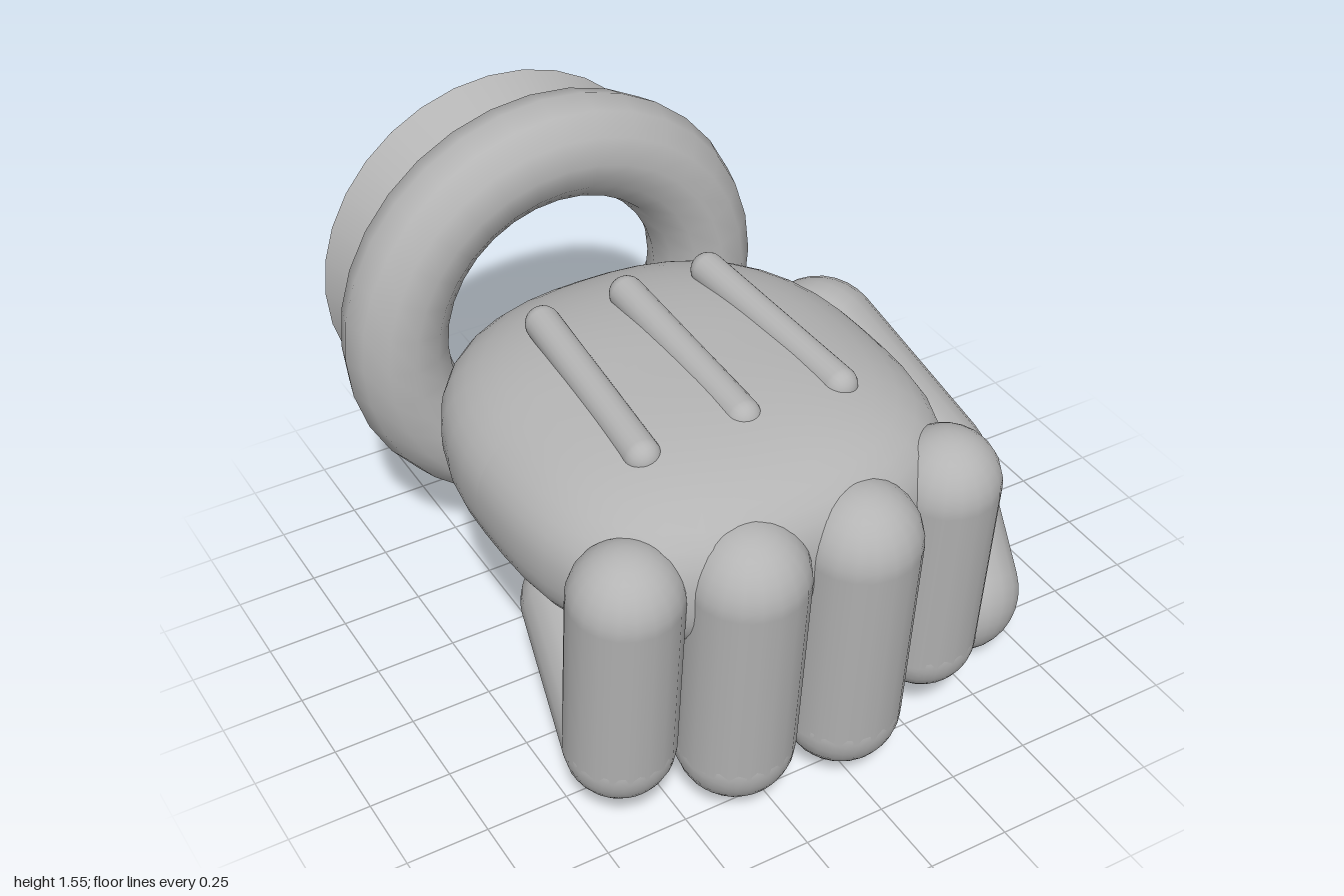
import * as THREE from 'three';

export function createModel() {
  const model = new THREE.Group();
  model.name = 'glovedFist';
  const grey = new THREE.MeshStandardMaterial({ color: 0xb4b4b4 });
  grey.name = 'grey';
  const greyOpen = new THREE.MeshStandardMaterial({ color: 0xb4b4b4, side: THREE.DoubleSide });
  greyOpen.name = 'grey two-sided';

  const add = (parent, name, geometry, material = grey) => {
    const mesh = new THREE.Mesh(geometry, material);
    mesh.name = name;
    parent.add(mesh);
    return mesh;
  };

  // Capsule whose end-sphere centres lie at a and b
  const capsule = (parent, name, a, b, r) => {
    const from = new THREE.Vector3(...a), to = new THREE.Vector3(...b);
    const dir = to.clone().sub(from);
    const mesh = add(parent, name, new THREE.CapsuleGeometry(r, dir.length(), 8, 20));
    mesh.position.copy(from).add(to).multiplyScalar(0.5);
    mesh.quaternion.setFromUnitVectors(new THREE.Vector3(0, 1, 0), dir.normalize());
    return mesh;
  };

  // Palm: a sphere pushed out to a boxy superellipsoid, fuller towards the knuckles
  const palmGeo = new THREE.SphereGeometry(1, 40, 28);
  const pos = palmGeo.attributes.position;
  const v = new THREE.Vector3(), p = 2.5;
  for (let i = 0; i < pos.count; i++) {
    v.fromBufferAttribute(pos, i);
    const q = v.z > 0 ? 3 : 2.4;
    const ring = (Math.abs(v.x) ** p + Math.abs(v.y) ** p) ** (1 / p);
    v.divideScalar((ring ** q + Math.abs(v.z) ** q) ** (1 / q));
    pos.setXYZ(i, v.x * 0.65, v.y * 0.3, v.z * 0.69);
  }
  palmGeo.computeVertexNormals();
  add(model, 'palm', palmGeo).position.set(-0.167, 0.87, 0.175);

  // Fingers: a front segment and one folded back, the tips drawing together
  const fingers = [
    // name, x, radius, bottom, front z, sideways shift of tip
    ['littleFinger', -0.664, 0.16, 0.175, 0.89, 0.1],
    ['ringFinger', -0.341, 0.174, 0.085, 0.98, 0.04],
    ['middleFinger', 0, 0.175, 0.065, 1.0, -0.04],
    ['indexFinger', 0.328, 0.161, 0.14, 0.91, -0.13],
  ];
  for (const [name, x, r, bottom, front, shift] of fingers) {
    const finger = new THREE.Group();
    finger.name = name;
    model.add(finger);
    const knuckle = [x, 1.055 - r, front - r];
    const bend = [x, bottom + r, front - r - 0.055];
    const tip = [x + shift, bend[1] + 0.14, bend[2] - 0.43];
    capsule(finger, name + 'Front', knuckle, bend, r);
    capsule(finger, name + 'Folded', bend, tip, r);
  }

  // Thumb
  const thumb = new THREE.Group();
  thumb.name = 'thumb';
  model.add(thumb);
  const joint = [0.655, 0.463, 0.235];
  capsule(thumb, 'thumbBase', [0.472, 0.793, -0.108], joint, 0.197);
  capsule(thumb, 'thumbTip', joint, [0.603, 0.19, 0.5], 0.19);

  // Three raised seams on the back of the hand
  for (const s of [-1, 0, 1]) {
    const drop = s ? 0.01 : 0;
    capsule(model, 'backSeam', [-0.167 + s * 0.27, 1.163 - drop, -0.145],
      [-0.167 + s * 0.31, 1.138 - drop, 0.49], 0.052);
  }

  // Rolled cuff
  add(model, 'cuffRing', new THREE.TorusGeometry(0.525, 0.16, 12, 32))
    .position.set(-0.167, 0.867, -0.64);

  // Open flared sleeve behind the cuff
  const sleeve = add(model, 'sleeve',
    new THREE.CylinderGeometry(0.475, 0.595, 0.3, 32, 1, true), greyOpen);
  sleeve.rotation.x = Math.PI / 2;
  sleeve.position.set(-0.167, 0.867, -0.85);

  return model;
}
